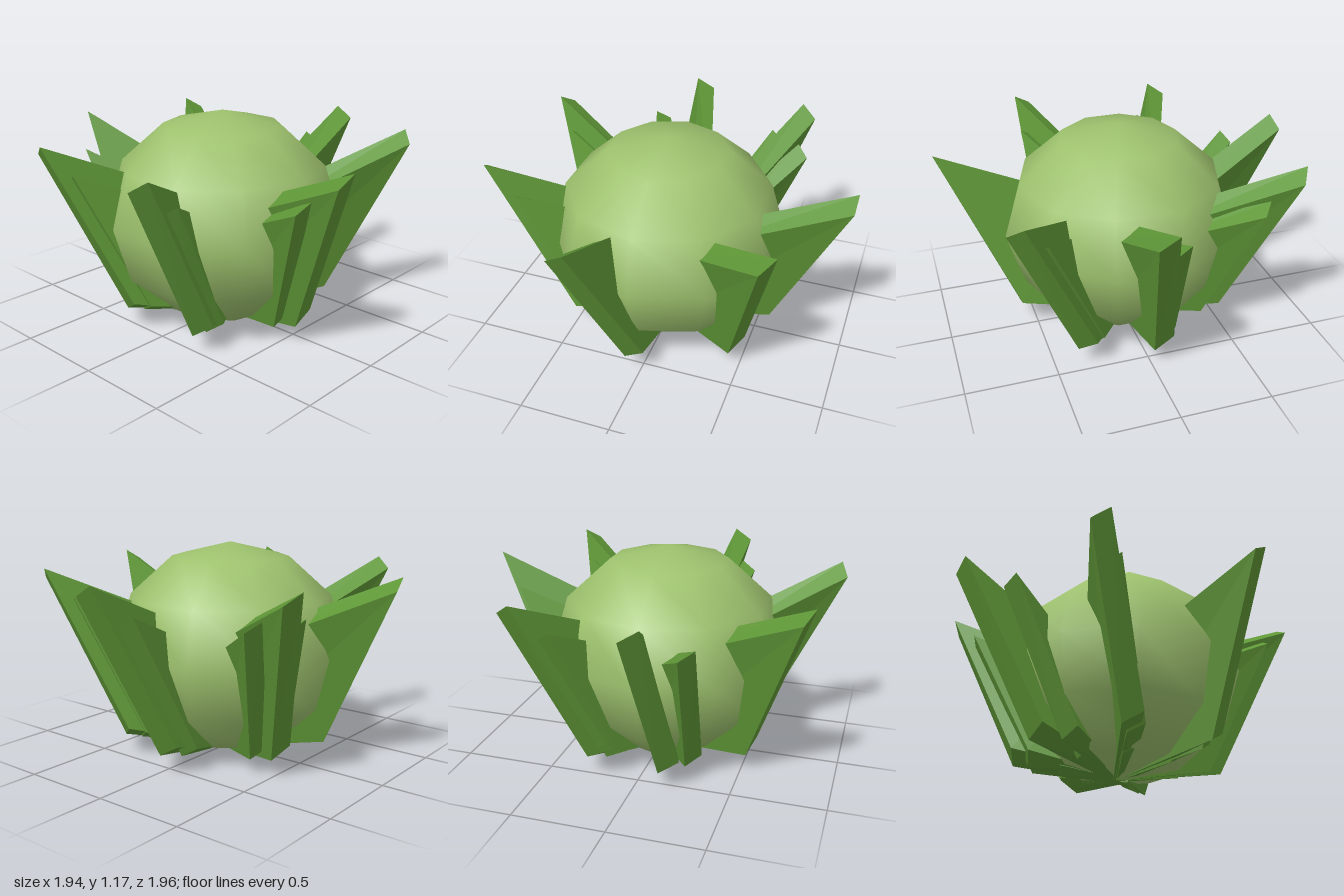
import * as THREE from 'three';

const bodyGreen = new THREE.MeshStandardMaterial({ color: 0x9dc16d });
const leafGreen = new THREE.MeshStandardMaterial({ color: 0x5f9737 });
bodyGreen.name = 'pale green';
leafGreen.name = 'leaf green';

// Leaf corners as [outward, sideways, up]: inner bottom, outer bottom, tip, inner top
const highSide = [[0, -0.05, 0.02], [0.58, -0.08, 0.165], [0.985, 0.1, 1.04], [0.2, 0.1, 0.71]];
const lowSide = [[0, 0.04, 0.0], [0.58, 0.03, 0.1], [0.975, 0.2, 0.98], [0.2, 0.2, 0.64]];

// A box whose eight corners are moved to the leaning, wedge-like leaf shape
function leafGeometry() {
  const geometry = new THREE.BoxGeometry(1, 1, 1).toNonIndexed();
  const p = geometry.attributes.position;
  for (let i = 0; i < p.count; i++) {
    const side = p.getZ(i) < 0 ? highSide : lowSide;
    const outer = p.getX(i) > 0;
    const corner = p.getY(i) > 0 ? (outer ? 2 : 3) : (outer ? 1 : 0);
    const [r, t, y] = side[corner];
    p.setXYZ(i, r, y, t);
  }
  geometry.computeVertexNormals();
  return geometry;
}

export function createModel() {
  const model = new THREE.Group();

  // Smooth, coarse ball
  const body = new THREE.Mesh(new THREE.SphereGeometry(1, 10, 6), bodyGreen);
  body.name = 'body';
  body.scale.set(0.646, 0.584, 0.646);
  body.rotation.y = Math.PI / 10;
  body.position.set(-0.025, 0.584, 0);
  model.add(body);

  const geometry = leafGeometry();
  const addLeaf = (name, degrees, size, height) => {
    const leaf = new THREE.Mesh(geometry, leafGreen);
    leaf.name = name;
    leaf.rotation.y = -THREE.MathUtils.degToRad(degrees - 6);
    leaf.scale.set(size, height, size);
    model.add(leaf);
  };

  // Seven clusters: tip direction and the turn of the smaller side leaf
  const clusters = [[2, -8], [43, -2], [101, 8], [157, -5], [208, -3], [260, -16], [302, -6]];
  clusters.forEach(([angle, turn]) => {
    addLeaf('largeLeaf', angle, 1, 1);
    addLeaf('sideLeaf', angle + turn, 0.85, 0.85);
    addLeaf('innerLeaf', angle + turn / 2, 0.55, 0.45);
  });
  addLeaf('sideLeaf', 311, 0.85, 0.85);

  return model;
}
